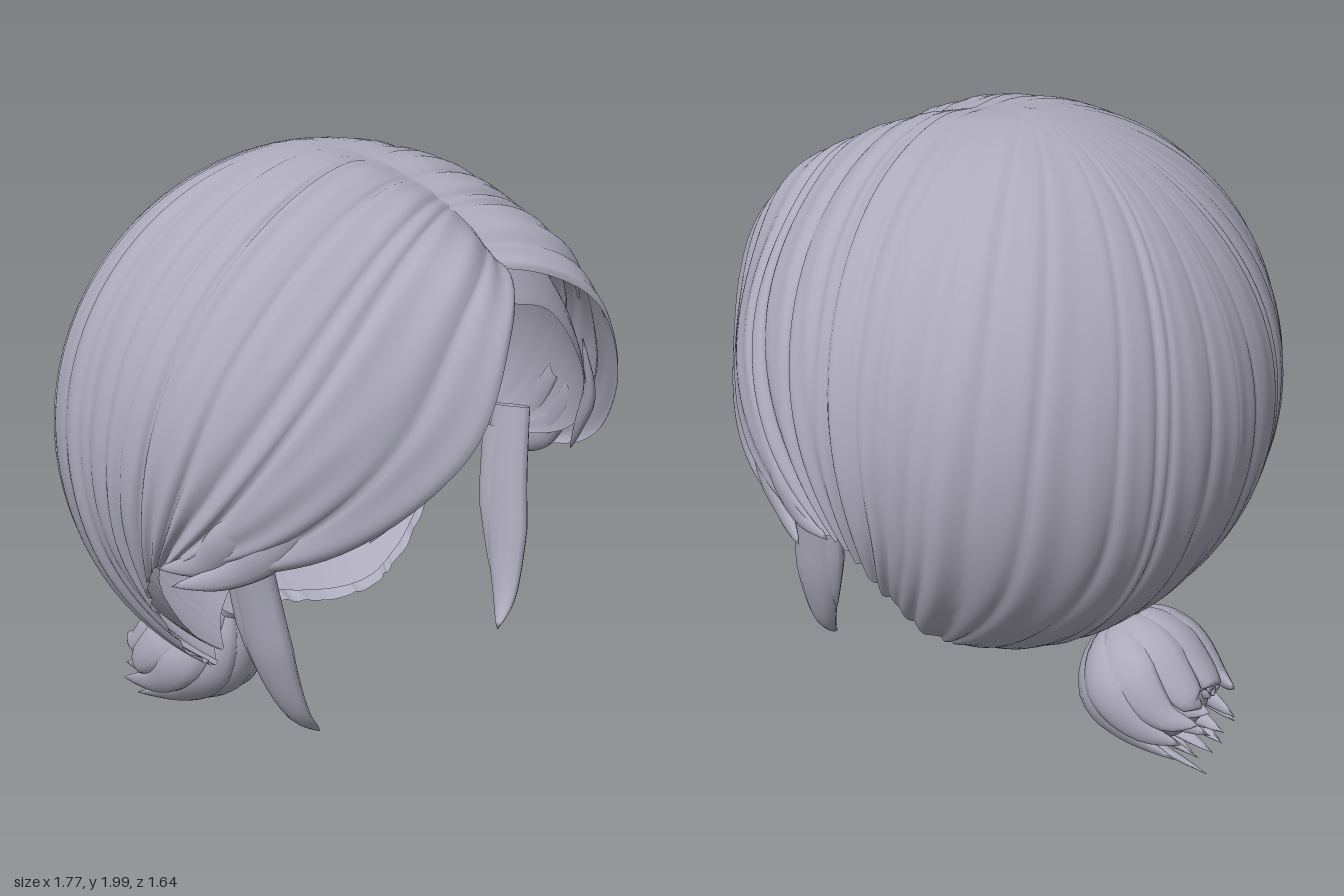
import * as THREE from 'three';
import { mergeVertices } from 'three/addons/utils/BufferGeometryUtils.js';

const V = (p) => new THREE.Vector3(...p);
const spline = (pts) => new THREE.CatmullRomCurve3(pts, false, 'catmullrom', 0.5);

// Smooth surface from a rule fn(u, v) -> Vector3
function grid(fn, nu, nv, flip) {
  const pos = [], idx = [];
  for (let i = 0; i <= nu; i++)
    for (let j = 0; j <= nv; j++) pos.push(...fn(i / nu, j / nv).toArray());
  for (let i = 0; i < nu; i++)
    for (let j = 0; j < nv; j++) {
      const a = i * (nv + 1) + j, b = a + nv + 1, c = a + 1, d = b + 1;
      if (flip) idx.push(a, b, c, b, d, c);
      else idx.push(a, c, b, b, c, d);
    }
  const g = new THREE.BufferGeometry();
  g.setAttribute('position', new THREE.Float32BufferAttribute(pos, 3));
  g.setIndex(idx);
  const m = mergeVertices(g, 1e-4);
  m.computeVertexNormals();
  return m;
}

// Key strands of the left half, fringe to back centre, each from parting to tip
const fringeEdge = [[0, 1.72, 0.66], [0.23, 1.55, 0.78], [0.39, 1.24, 0.74], [0.63, 1.0, 0.52], [0.86, 0.88, 0.15]];
const strands = [
  [[0, 1.84, 0.5], [0.35, 1.72, 0.58], [0.62, 1.4, 0.5], [0.78, 1.1, 0.3], [0.86, 0.9, 0.08]],
  [[0, 1.93, 0.3], [0.4, 1.86, 0.3], [0.75, 1.5, 0.2], [0.86, 1.15, 0.1], [0.82, 0.88, 0.0]],
  [[0, 1.99, 0.1], [0.45, 1.87, 0.05], [0.8, 1.45, -0.05], [0.84, 1.0, -0.1], [0.77, 0.74, -0.07]],
  [[0, 2.0, -0.02], [0.4, 1.85, -0.25], [0.72, 1.4, -0.4], [0.72, 0.85, -0.32], [0.55, 0.48, -0.09]],
  [[0, 2.0, -0.06], [0.25, 1.85, -0.45], [0.48, 1.3, -0.68], [0.46, 0.8, -0.58], [0.38, 0.4, -0.14]],
  [[0, 2.0, -0.08], [0.12, 1.8, -0.54], [0.25, 1.25, -0.77], [0.23, 0.75, -0.66], [0.15, 0.41, -0.33]],
  [[0, 2.0, -0.1], [0, 1.75, -0.58], [0, 1.2, -0.8], [0, 0.75, -0.68], [0, 0.43, -0.42]],
];
const capEdge = [[0, 1.59, 0.66], [0.22, 1.53, 0.7], [0.4, 1.27, 0.7], [0.64, 1.03, 0.49], [0.84, 0.9, 0.15]];

// Half of the head of hair: strands laid on an egg shape, with uneven soft locks
function hairHalf(keys, side, scale, ridge, volume) {
  const centre = new THREE.Vector3(0, 1.15, 0);
  const columns = [0, 1, 2, 3, 4].map((j) => spline(keys.map((k) => V(k[j]))));
  let lastU = -1, strand;
  return grid((u, v) => {
    if (u !== lastU) {
      strand = spline(columns.map((c) => c.getPoint(u)));
      lastU = u;
    }
    const phase = u * 14 + 0.32 * Math.sin(u * 31) + 0.22 * Math.sin(u * 67 + v * 2);
    const bump = Math.pow(Math.abs(Math.sin(Math.PI * phase)), 0.7);
    const fine = Math.sin(u * 120 + Math.sin(v * 5) * 2);
    const p = strand.getPoint(v).sub(centre);
    const rz = p.z > 0 ? 0.86 : 0.8;
    const r = 1 / Math.hypot(p.x / 0.87, p.y / 0.85, p.z / rz);
    // Two raised swells either side of the parting
    const swell = Math.sin(Math.PI * Math.sqrt(v))
      * Math.exp(-((u / 0.17) ** 2) - (((p.x * r - 0.22) / 0.2) ** 2));
    // Locks are strong on the fringe and melt together at the crown and back
    const back = THREE.MathUtils.smoothstep(u, 0.3, 0.7);
    const fade = (1 - 0.4 * back) * THREE.MathUtils.smoothstep(v, -0.08 + 0.08 * back, 0.15 + 0.4 * back);
    const lift = 1 + volume * swell
      + ridge * fade * (bump - 0.7 + 0.13 * fine)
      - ridge * (1 - back) * Math.exp(-((v / 0.05) ** 2));
    p.multiplyScalar(r * scale * lift).add(centre);
    p.x *= side;
    return p;
  }, 180, 40, side < 0);
}

// Tapered lock: flattened tube along a path, wide across, thin along "out"
function lock(points, out, width, thick, side = 1, start = 0.6) {
  const path = spline(points.map(V));
  return grid((a, t) => {
    const T = path.getTangent(t);
    const across = T.clone().cross(out).normalize();
    const n = across.clone().cross(T).normalize();
    const grow = start + (1 - start) * Math.sin(Math.min(1, t / 0.45) * Math.PI / 2);
    const taper = t < 0.45 ? 1 : Math.pow(Math.max(0, 1 - (t - 0.45) / 0.55), 0.75);
    const w = Math.max(0.001, grow * taper), ang = a * Math.PI * 2;
    const p = path.getPoint(t)
      .addScaledVector(across, Math.cos(ang) * width * w)
      .addScaledVector(n, Math.sin(ang) * thick * w);
    p.x *= side;
    return p;
  }, 12, 18, side < 0);
}

export function createModel() {
  const hair = new THREE.MeshStandardMaterial({ color: 0xacaabb, side: THREE.DoubleSide });
  hair.name = 'greyHair';
  const model = new THREE.Group();
  model.name = 'hairstyle';
  const add = (geo, name, parent = model) => {
    const m = new THREE.Mesh(geo, hair);
    m.name = name;
    parent.add(m);
    return m;
  };

  for (const s of [1, -1]) {
    const tag = s > 0 ? 'left' : 'right';
    add(hairHalf([fringeEdge, ...strands], s, 1, 0.025, 0.105), tag + 'Hair');
    add(hairHalf([capEdge, ...strands], s, 0.94, 0.003, 0), tag + 'InnerCap');

    // Loose ends of the fringe
    const front = new THREE.Vector3(0.6, 0.2, 0.75);
    add(lock([[0.66, 1.17, 0.5], [0.74, 1.01, 0.38], [0.8, 0.91, 0.25], [0.885, 0.875, 0.12]], front, 0.06, 0.03, s), tag + 'FringeFlick');
    add(lock([[0.72, 1.2, 0.4], [0.79, 1.04, 0.28], [0.82, 0.94, 0.18], [0.85, 0.9, 0.04]], front, 0.06, 0.03, s), tag + 'FringeEnd');
    add(lock([[0.36, 1.42, 0.7], [0.43, 1.24, 0.69], [0.48, 1.11, 0.63], [0.55, 1.0, 0.56]], front, 0.035, 0.02, s, 0.1), tag + 'FringeWisp');

    // Long locks in front of the ears
    const outX = new THREE.Vector3(1, 0, 0);
    add(lock([[0.71, 1.05, 0.24], [0.67, 0.82, 0.255], [0.63, 0.6, 0.285], [0.57, 0.43, 0.32], [0.49, 0.345, 0.345]], outX, 0.08, 0.04, s, 0.9), tag + 'SideLock');
    add(lock([[0.69, 0.98, 0.2], [0.66, 0.78, 0.215], [0.63, 0.6, 0.24], [0.59, 0.48, 0.26]], outX, 0.06, 0.03, s, 0.9), tag + 'SideLockTine');
  }

  // Ponytail: rings of locks bulging round an axis that sweeps down and back
  const tail = new THREE.Group();
  tail.name = 'ponytail';
  model.add(tail);
  const axis = new THREE.QuadraticBezierCurve3(V([0, 0.44, -0.41]), V([0, 0.21, -0.49]), V([0, 0.14, -0.71]));
  const down = new THREE.Vector3(0, -0.62, 0.78);
  const rings = [[11, 0.165, 0.14], [9, 0.12, 0.1], [5, 0.06, 0.04]];
  rings.forEach(([count, bulge, tip], k) => {
    for (let i = 0; i < count; i++) {
      const a = ((i + k * 0.5) / count) * Math.PI * 2;
      const c = Math.cos(a), sn = Math.sin(a);
      const out = new THREE.Vector3(c * 1.2, 0, 0).addScaledVector(down, sn);
      const pts = [[0, 0.02], [0.18, bulge * 0.7], [0.45, bulge], [0.75, bulge * 0.95]].map(([t, r]) =>
        axis.getPoint(t).addScaledVector(out, r).toArray());
      // Ragged tips spread in an upright fan
      pts.push([c * tip, 0.145 - sn * tip, -0.73 + 0.05 * Math.sin(i * 2.4 + k)]);
      add(lock(pts, out, 0.085, 0.045, 1, 0.25), 'tailLock', tail);
    }
  });

  // Filled core and the gathered knot
  const q = new THREE.Quaternion().setFromUnitVectors(new THREE.Vector3(0, 1, 0), V([0, -0.75, -0.66]).normalize());
  const core = add(new THREE.SphereGeometry(1, 24, 16), 'tailCore', tail);
  core.scale.set(0.19, 0.18, 0.16);
  core.position.set(0, 0.24, -0.54);
  core.quaternion.copy(q);
  const knot = add(new THREE.CylinderGeometry(0.085, 0.075, 0.07, 20), 'knot', tail);
  knot.position.set(0, 0.42, -0.42);
  knot.quaternion.copy(q);

  return model;
}
